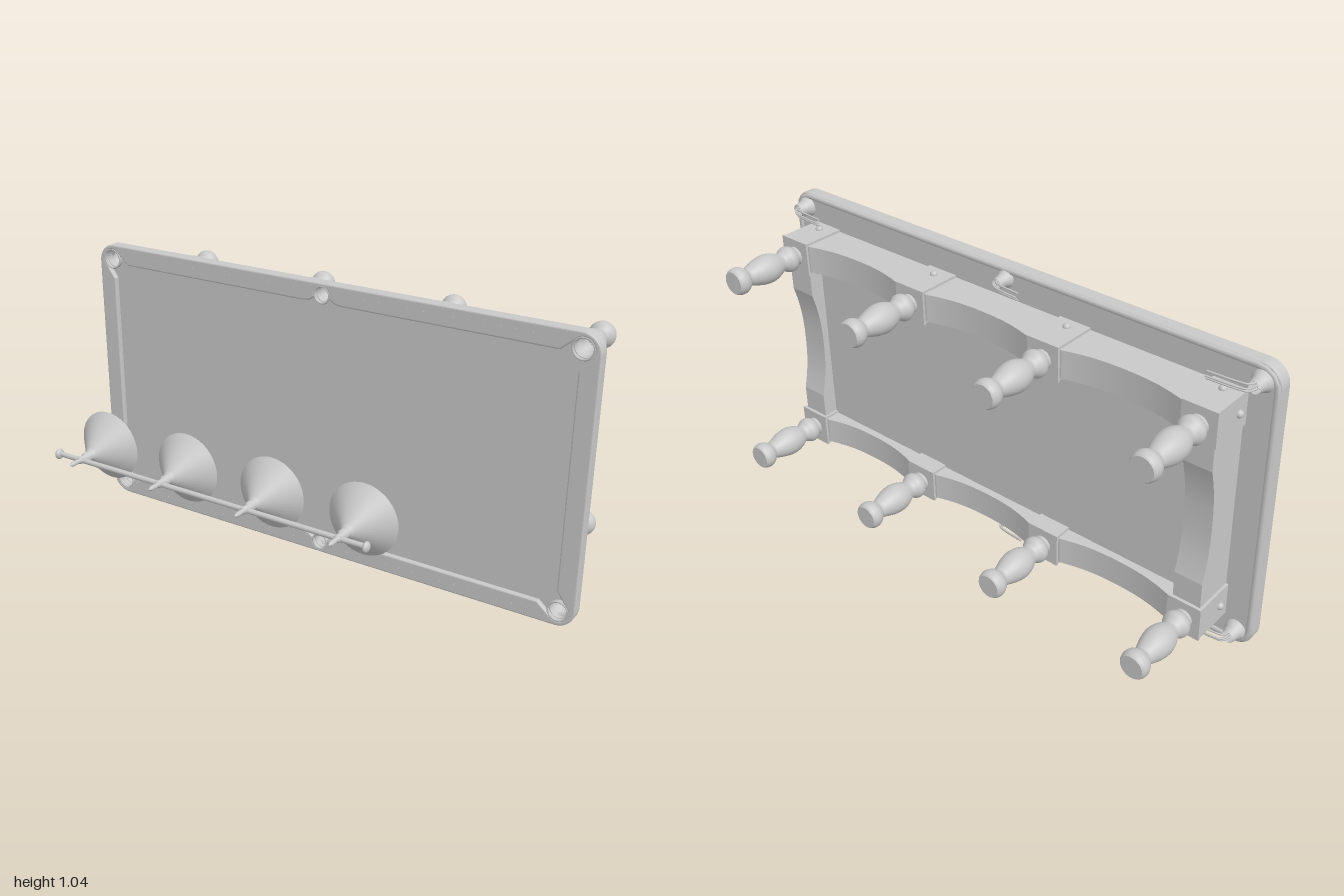
import * as THREE from 'three';

const grey = new THREE.MeshStandardMaterial({ color: 0xc8c8c8, side: THREE.DoubleSide });
grey.name = 'plain grey';

function add(parent, name, geometry, x = 0, y = 0, z = 0) {
  const mesh = new THREE.Mesh(geometry, grey);
  mesh.name = name;
  mesh.position.set(x, y, z);
  parent.add(mesh);
  return mesh;
}

// Turned part along z; profile is [radius, distance], dir -1 runs backwards.
function turned(profile, dir, smooth = false, segments = 28) {
  let pts = profile.map(([r, d]) => new THREE.Vector2(r, d));
  if (smooth) pts = new THREE.SplineCurve(pts).getPoints(profile.length * 4);
  return new THREE.LatheGeometry(pts, segments).rotateX(dir * Math.PI / 2);
}

function roundedRect(w, h, r) {
  const s = new THREE.Shape();
  s.absarc(w - r, h - r, r, 0, Math.PI / 2);
  s.absarc(-w + r, h - r, r, Math.PI / 2, Math.PI);
  s.absarc(-w + r, -h + r, r, Math.PI, Math.PI * 1.5);
  s.absarc(w - r, -h + r, r, Math.PI * 1.5, Math.PI * 2);
  s.closePath();
  return s;
}

const CORNER = { x: 0.94, y: 0.465, r: 0.036 };
const MIDDLE = { x: 0, y: 0.478, r: 0.03 };
const pockets = [];
for (const sy of [1, -1]) {
  for (const sx of [1, -1]) pockets.push({ x: sx * CORNER.x, y: sy * CORNER.y, r: CORNER.r, run: -sx * 0.14 });
  pockets.push({ x: 0, y: sy * MIDDLE.y, r: MIDDLE.r, run: -0.11 });
}

// Cushion line: straight noses with jaws opening into every pocket.
function cushionOutline() {
  const quarter = [];
  const arc = (c, from, to) => {
    for (let i = 0; i <= 12; i++) {
      const a = THREE.MathUtils.degToRad(from + (to - from) * i / 12);
      quarter.push([c.x + c.r * Math.cos(a), c.y + c.r * Math.sin(a)]);
    }
  };
  quarter.push([0.93, 0.39]);
  arc(CORNER, -35, 125);
  quarter.push([0.865, 0.448], [0.075, 0.448], [0.05, 0.453]);
  arc(MIDDLE, -20, 90);
  const mirrorX = quarter.slice(0, -1).reverse().map(([x, y]) => [-x, y]);
  const half = [...quarter, ...mirrorX];
  const all = [...half, ...half.map(([x, y]) => [-x, -y])];
  return new THREE.Path(all.map(([x, y]) => new THREE.Vector2(x, y)));
}

// Apron board lying along x, its back edge cut to an arch.
function apron(length, flat, deep, shallow, thickness) {
  const h = length / 2, c = h - flat;
  const mid = deep + (shallow - deep) * 0.75;
  const s = new THREE.Shape();
  s.moveTo(-h, 0);
  s.lineTo(h, 0);
  s.lineTo(h, deep);
  s.lineTo(c, deep);
  s.bezierCurveTo(c * 0.65, mid, c * 0.4, shallow, 0, shallow);
  s.bezierCurveTo(-c * 0.4, shallow, -c * 0.65, mid, -c, deep);
  s.lineTo(-h, deep);
  s.closePath();
  return new THREE.ExtrudeGeometry(s, { depth: thickness, bevelEnabled: false, curveSegments: 14 })
    .rotateX(-Math.PI / 2).translate(0, -thickness / 2, 0);
}

function buildTop(table) {
  // Rail frame and bed
  const rail = roundedRect(1, 0.52, 0.07);
  rail.holes.push(cushionOutline());
  add(table, 'railFrame', new THREE.ExtrudeGeometry(rail, {
    depth: 0.036, bevelThickness: 0.006, bevelSize: 0.006, bevelOffset: -0.006, bevelSegments: 3,
  }), 0, 0, -0.176);

  const bed = roundedRect(0.99, 0.512, 0.062);
  for (const p of pockets) {
    const hole = new THREE.Path();
    hole.absarc(p.x, p.y, p.r - 0.002, 0, Math.PI * 2);
    bed.holes.push(hole);
  }
  add(table, 'bed', new THREE.ExtrudeGeometry(bed, { depth: 0.03, bevelEnabled: false }), 0, 0, -0.182);

  // Bead around the back of the rail
  const path = new THREE.CatmullRomCurve3(
    roundedRect(0.987, 0.507, 0.06).getSpacedPoints(160).slice(0, -1)
      .map(p => new THREE.Vector3(p.x, p.y, -0.179)), true);
  add(table, 'railBead', new THREE.TubeGeometry(path, 200, 0.011, 8, true));

  // Sight dots along the long rails
  const dot = new THREE.CylinderGeometry(0.003, 0.003, 0.002, 8).rotateX(Math.PI / 2);
  for (const y of [0.487, -0.487]) {
    for (let i = 1; i <= 14; i++) {
      for (const s of [1, -1]) add(table, 'railDot', dot, s * (0.06 + i * 0.055), y, -0.1335);
    }
  }
}

function buildPockets(table) {
  for (const p of pockets) {
    const g = new THREE.Group();
    g.name = 'pocket';
    g.position.set(p.x, p.y, 0);
    table.add(g);
    const k = p.r / 0.036;
    add(g, 'pocketCup', turned([[0.038 * k, 0.137], [0.036 * k, 0.17], [0.036 * k, 0.19],
      [0.027 * k, 0.205], [0.021 * k, 0.232]], -1));
    add(g, 'pocketRing', new THREE.TorusGeometry(p.r, 0.004, 6, 28), 0, 0, -0.137);
    // Wire ball return
    for (const [dy, dz] of [[-0.012, 0], [0.012, 0], [0, -0.008]]) {
      const wire = new THREE.CatmullRomCurve3([
        new THREE.Vector3(0, dy, -0.215),
        new THREE.Vector3(p.run * 0.08, dy, -0.243 + dz),
        new THREE.Vector3(p.run * 0.3, dy, -0.25 + dz),
        new THREE.Vector3(p.run, dy, -0.256 + dz),
      ]);
      add(g, 'returnWire', new THREE.TubeGeometry(wire, 14, 0.0035, 6));
    }
  }
}

function buildBase(table) {
  const legGeometry = turned([[0.034, 0.34], [0.034, 0.355], [0.044, 0.37], [0.046, 0.388], [0.035, 0.408],
    [0.034, 0.42], [0.045, 0.445], [0.051, 0.475], [0.047, 0.51], [0.036, 0.545], [0.032, 0.562],
    [0.042, 0.576], [0.048, 0.592], [0.046, 0.61], [0.04, 0.619]], -1, true);
  const foot = new THREE.CircleGeometry(0.04, 28).rotateX(Math.PI);
  const block = new THREE.BoxGeometry(0.118, 0.118, 0.16);
  const collar = new THREE.BoxGeometry(0.122, 0.122, 0.008);
  const bolt = new THREE.SphereGeometry(0.013, 14, 10);

  for (const sy of [1, -1]) {
    // Leg blocks, legs and bolts
    const y = sy * 0.36;
    for (const x of [-0.84, -0.28, 0.28, 0.84]) {
      add(table, 'legBlock', block, x, y, -0.264);
      add(table, 'blockTrim', collar, x, y, -0.341);
      add(table, 'leg', legGeometry, x, y, 0);
      add(table, 'legFoot', foot, x, y, -0.619);
      add(table, 'bolt', bolt, x, y + sy * 0.06, -0.227);
      if (Math.abs(x) > 0.5) add(table, 'bolt', bolt, x + Math.sign(x) * 0.06, y, -0.227);
    }
    // Broad side aprons between the blocks
    for (const x of [-0.56, 0, 0.56]) {
      add(table, 'sideApron', apron(0.45, 0.01, 0.153, 0.122, 0.1), x, y, -0.182);
    }
    // Broad end aprons
    const end = apron(0.62, 0.1, 0.15, 0.122, 0.1).rotateZ(Math.PI / 2);
    add(table, 'endApron', end, sy * 0.84, 0, -0.182);
  }

  // Panel closing the cabinet between the aprons
  add(table, 'underPanel', new THREE.BoxGeometry(1.6, 0.64, 0.012), 0, 0, -0.272);
}

function buildLamps(root) {
  const lamps = new THREE.Group();
  lamps.name = 'lampBar';
  lamps.position.y = 0.522;
  root.add(lamps);

  // Bar with round end caps
  add(lamps, 'bar', new THREE.CylinderGeometry(0.009, 0.009, 1.2, 16).rotateZ(Math.PI / 2), 0, 0, 0.566);
  const cap = new THREE.SphereGeometry(0.018, 18, 12).scale(0.6, 1, 1);
  for (const s of [1, -1]) add(lamps, 'barEnd', cap, s * 0.598, 0, 0.568);

  // Open shades with socket and finial
  const shade = turned([[0.121, 0.42], [0.024, 0.516]], 1, false, 40);
  const socket = turned([[0.024, 0.515], [0.022, 0.522], [0.017, 0.524], [0.017, 0.546], [0.012, 0.55],
    [0.012, 0.574], [0.008, 0.578]], 1);
  const finial = turned([[0.008, 0.576], [0.008, 0.606], [0.006, 0.612], [0, 0.62]], 1);
  for (const x of [-0.503, -0.168, 0.167, 0.502]) {
    add(lamps, 'lampShade', shade, x);
    add(lamps, 'lampSocket', socket, x);
    add(lamps, 'lampFinial', finial, x);
  }
}

export function createModel() {
  const root = new THREE.Group();
  root.name = 'gameTableWithLamps';
  const table = new THREE.Group();
  table.name = 'table';
  table.position.y = 0.52;
  root.add(table);
  buildTop(table);
  buildPockets(table);
  buildBase(table);
  buildLamps(root);
  return root;
}
